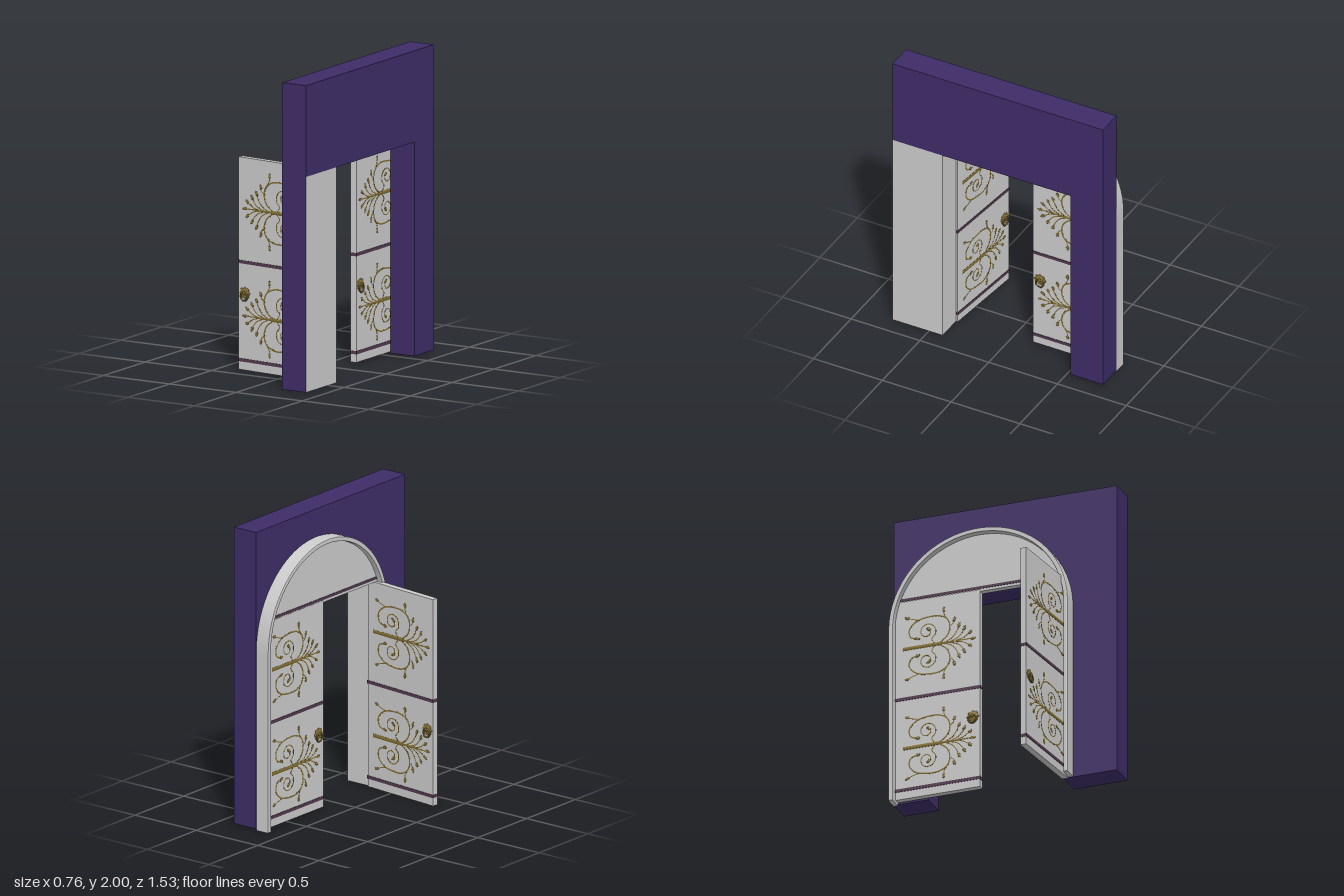
import * as THREE from 'three';

const mat = (color) => new THREE.MeshStandardMaterial({ color });
const grey = mat(0xcccccc), purple = mat(0x3e2c67), gold = mat(0x846e30), plum = mat(0x52394f);

const DOOR_W = 0.58, DOOR_H = 1.385, DOOR_T = 0.042;
const ARCH_Z = -0.15, SPRING_Y = 1.195, ARCH_R = 0.615, RIM = 0.03;

function add(parent, name, geometry, material, x = 0, y = 0, z = 0) {
  const mesh = new THREE.Mesh(geometry, material);
  mesh.name = name;
  mesh.position.set(x, y, z);
  parent.add(mesh);
  return mesh;
}

function boxBetween(parent, name, material, [x0, y0, z0], [x1, y1, z1]) {
  return add(parent, name, new THREE.BoxGeometry(x1 - x0, y1 - y0, z1 - z0), material,
    (x0 + x1) / 2, (y0 + y1) / 2, (z0 + z1) / 2);
}

// Wall slab around the doorway; one pier has pale front and reveal faces
function wall() {
  const g = new THREE.Group();
  g.name = 'wall';
  boxBetween(g, 'lintel', purple, [0.2, 1.405, -0.765], [0.38, 2, 0.765]);
  boxBetween(g, 'rearPier', purple, [0.2, 0.01, -0.765], [0.38, 1.405, -0.53]);
  boxBetween(g, 'frontPier', [grey, purple, purple, purple, purple, grey],
    [0.2, 0, 0.4], [0.38, 1.405, 0.765]);
  return g;
}

// Arched rim plus the two fixed panels above the doors (drawn in s = -z, y)
function archFrame() {
  const g = new THREE.Group();
  g.name = 'archFrame';
  const b = 0.006, R = ARCH_R - b, r = ARCH_R - RIM + b;
  const rim = new THREE.Shape();
  rim.moveTo(R, 0);
  rim.lineTo(R, SPRING_Y);
  rim.absarc(0, SPRING_Y, R, 0, Math.PI, false);
  rim.lineTo(-R, 0);
  rim.lineTo(-r, 0);
  rim.lineTo(-r, SPRING_Y);
  rim.absarc(0, SPRING_Y, r, Math.PI, 0, true);
  rim.lineTo(r, 0);
  const rimGeo = new THREE.ExtrudeGeometry(rim, {
    depth: 0.1 - 2 * b, bevelEnabled: true, bevelSize: b, bevelThickness: b, bevelSegments: 2, curveSegments: 48,
  });
  rimGeo.translate(0, b, b);
  add(g, 'archRim', rimGeo, grey, 0.1, 0, ARCH_Z).rotation.y = Math.PI / 2;

  const pr = ARCH_R - RIM + 0.004;
  for (const side of [1, -1]) {
    const base = side > 0 ? 1.399 : 1.386;
    const a = Math.asin((base - SPRING_Y) / pr);
    const panel = new THREE.Shape();
    panel.moveTo(0, base);
    panel.lineTo(side * pr * Math.cos(a), base);
    panel.absarc(0, SPRING_Y, pr, side > 0 ? a : Math.PI - a, Math.PI / 2, side < 0);
    panel.lineTo(0, base);
    const geo = new THREE.ExtrudeGeometry(panel, { depth: DOOR_T, bevelEnabled: false, curveSegments: 32 });
    add(g, 'archPanel', geo, grey, 0.14, 0, ARCH_Z).rotation.y = Math.PI / 2;
    const w = pr * Math.cos(a) - 0.005;
    add(g, 'archPanelStrip', new THREE.BoxGeometry(DOOR_T + 0.006, 0.018, w), plum,
      0.161, 1.412, ARCH_Z - side * w / 2);
  }
  return g;
}

// Scroll stems: [radius, ends in bud, points (distance from free edge, height from trunk)]
const inner = [[0.31, 0.006]];
for (let i = 0; i <= 14; i++) {
  const t = i / 14, a = -2.1 - t * 8.2, rad = 0.066 * (1 - t * 0.72);
  inner.push([0.365 + rad * Math.cos(a), 0.1 + rad * Math.sin(a)]);
}
const stems = [
  [0.0055, true, [[0.28, 0.004], [0.225, 0.05], [0.207, 0.11], [0.225, 0.165], [0.28, 0.197], [0.36, 0.2],
    [0.44, 0.18], [0.485, 0.13], [0.475, 0.075], [0.43, 0.06]]],
  [0.004, true, inner],
  [0.004, true, [[0.207, 0.12], [0.225, 0.165], [0.247, 0.2], [0.25, 0.235]]],
  [0.004, true, [[0.24, 0.004], [0.19, 0.03], [0.16, 0.07], [0.145, 0.108]]],
  [0.004, true, [[0.2, 0.004], [0.15, 0.025], [0.122, 0.055], [0.108, 0.08]]],
  [0.004, true, [[0.17, 0.002], [0.12, 0.014], [0.09, 0.032], [0.07, 0.046]]],
  [0.0035, true, [[0.42, 0.19], [0.46, 0.2], [0.5, 0.215]]],
  [0.0035, true, [[0.207, 0.11], [0.185, 0.13], [0.178, 0.155]]],
];
const trunk = [
  [0.013, false, [[0.27, 0], [0.4, 0], [0.53, 0]]],
  [0.008, false, [[0.18, 0], [0.23, 0], [0.28, 0]]],
  [0.0045, true, [[0.2, 0], [0.12, 0], [0.05, 0]]],
];

function ornament() {
  const g = new THREE.Group();
  g.name = 'scrollOrnament';
  const draw = ([radius, bud, pts], flip) => {
    const path = new THREE.CatmullRomCurve3(pts.map(([u, v]) => new THREE.Vector3(u, v * flip, 0)));
    add(g, 'stem', new THREE.TubeGeometry(path, pts.length * 4, radius, 6), gold);
    if (!bud) return;
    const end = path.getPoint(1), dir = path.getTangent(1);
    const leaf = add(g, 'bud', new THREE.SphereGeometry(0.011, 8, 6), gold, end.x, end.y, 0);
    leaf.scale.set(1.6, 0.9, 0.9);
    leaf.rotation.z = Math.atan2(dir.y, dir.x);
  };
  trunk.forEach((s) => draw(s, 1));
  for (const flip of [1, -1]) stems.forEach((s) => draw(s, flip));
  g.scale.z = 0.35; // shallow relief
  return g;
}

// Rosette with a hanging ring
function handle() {
  const g = new THREE.Group();
  g.name = 'handle';
  const plate = add(g, 'rosette', new THREE.SphereGeometry(0.034, 20, 10), gold, 0, 0.008, 0);
  plate.scale.z = 0.25;
  for (let i = 0; i < 8; i++) {
    const a = i * Math.PI / 4;
    add(g, 'petal', new THREE.SphereGeometry(0.011, 8, 6), gold,
      0.032 * Math.cos(a), 0.008 + 0.03 * Math.sin(a), 0).scale.z = 0.5;
  }
  add(g, 'knob', new THREE.SphereGeometry(0.011, 10, 8), gold, 0, 0.008, 0.007);
  add(g, 'pullRing', new THREE.TorusGeometry(0.028, 0.005, 8, 24), gold, 0, -0.014, 0.009);
  return g;
}

// Door leaf: local x runs from the free edge to the hinge
function door(name) {
  const g = new THREE.Group();
  g.name = name;
  add(g, 'leaf', new THREE.BoxGeometry(DOOR_W, DOOR_H, DOOR_T), grey, DOOR_W / 2, DOOR_H / 2, 0);
  for (const y of [0.064, 0.703])
    add(g, 'strip', new THREE.BoxGeometry(DOOR_W + 0.004, 0.021, DOOR_T + 0.006), plum, DOOR_W / 2, y, 0);
  for (const side of [1, -1]) {
    for (const y of [0.354, 1.053]) {
      const o = ornament();
      o.position.set(0, y, side * DOOR_T / 2);
      g.add(o);
    }
    const h = handle();
    h.position.set(0.05, 0.494, side * DOOR_T / 2);
    if (side < 0) h.rotation.y = Math.PI;
    g.add(h);
  }
  return g;
}

export function createModel() {
  const model = new THREE.Group();
  model.name = 'archedDoorway';
  model.add(wall(), archFrame());
  const closed = door('closedDoor');
  closed.position.set(0.161, 0.013, ARCH_Z);
  closed.rotation.y = Math.PI / 2;
  const open = door('openDoor');
  open.position.set(-0.375, 0, 0.35);
  open.rotation.y = -0.1;
  model.add(closed, open);
  return model;
}
